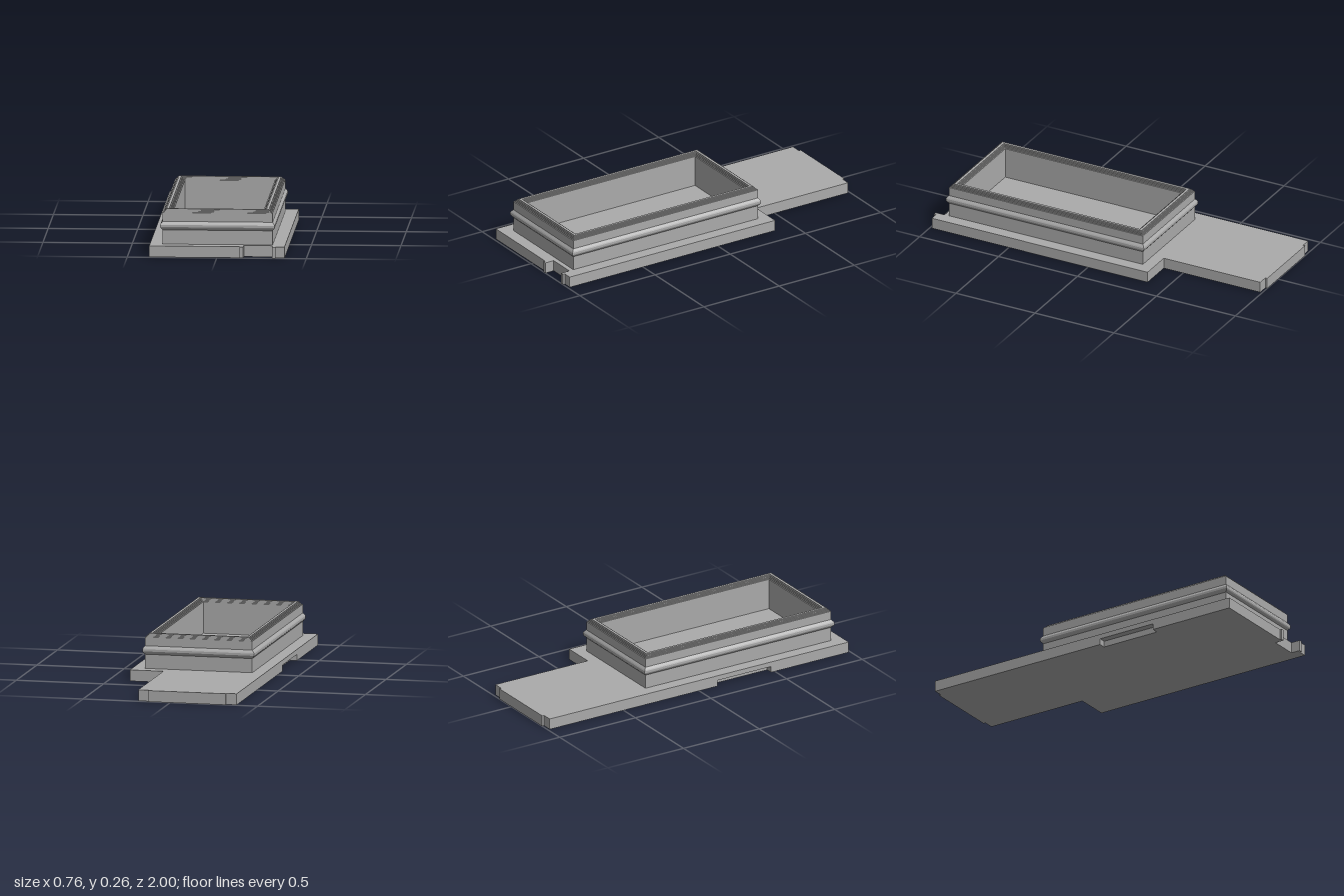
import * as THREE from 'three';

const PLATE_H = 0.063, UNDERCUT_H = 0.035;
const CENTER_Z = 0.304, INNER_X = 0.25, INNER_Z = 0.557, WALL = 0.057;

// Horizontal slab from an [x, z] outline
function slab(outline, y0, y1) {
  const shape = new THREE.Shape(outline.map(([x, z]) => new THREE.Vector2(x, -z)));
  const geo = new THREE.ExtrudeGeometry(shape, { depth: y1 - y0, bevelEnabled: false });
  return geo.rotateX(-Math.PI / 2).translate(0, y0, 0);
}

// Sweep a closed [offset, y] profile round a rectangle with mitred corners
function rectangularRing(profile, halfX, halfZ) {
  const signs = [[1, 1], [1, -1], [-1, -1], [-1, 1]];
  const point = (i, k) => {
    const [o, y] = profile[i % profile.length];
    const [sx, sz] = signs[k % 4];
    return [sx * (halfX + o), y, sz * (halfZ + o)];
  };
  const positions = [];
  for (let k = 0; k < 4; k++) {
    for (let i = 0; i < profile.length; i++) {
      const a = point(i, k), b = point(i, k + 1), c = point(i + 1, k + 1), d = point(i + 1, k);
      positions.push(...a, ...b, ...c, ...a, ...c, ...d);
    }
  }
  const geo = new THREE.BufferGeometry();
  geo.setAttribute('position', new THREE.Float32BufferAttribute(positions, 3));
  geo.computeVertexNormals();
  return geo;
}

export function createModel() {
  const model = new THREE.Group();
  model.name = 'coverPlate';
  const grey = new THREE.MeshStandardMaterial({ color: 0xaaaaaa });
  grey.name = 'grey';

  const add = (name, geo) => {
    const mesh = new THREE.Mesh(geo, grey);
    mesh.name = name;
    model.add(mesh);
    return mesh;
  };

  // Base plate outline, with front notch between two lips and a shallow rear step
  const front = 0.988, back = -0.988;
  const frontAndRight = [
    [-0.378, front], [0.128, front], [0.128, 1], [0.148, 1], [0.148, 0.945],
    [0.308, 0.945], [0.308, 1], [0.328, 1], [0.328, front], [0.378, front],
    [0.378, -0.378], [0.186, -0.378], [0.186, back],
    [0.126, back], [0.126, -1], [-0.318, -1], [-0.318, back], [-0.378, back],
  ];
  // Finger recess cut into the underside of the long edge
  const recess = [[-0.378, 0.12], [-0.338, 0.12], [-0.338, 0.475], [-0.378, 0.475]];
  add('plateLower', slab([...frontAndRight, ...recess], 0, UNDERCUT_H));
  add('plateUpper', slab(frontAndRight, UNDERCUT_H, PLATE_H));

  // Raised wall: snap ridge outside, stepped rounding on both top edges
  const outer = [
    [WALL, PLATE_H - 0.005], [WALL, 0.143],
    [WALL + 0.006, 0.15], [WALL + 0.01, 0.155], [WALL + 0.013, 0.161],
    [WALL + 0.013, 0.173], [WALL + 0.01, 0.179], [WALL + 0.006, 0.184], [WALL, 0.191],
  ];
  const steps = [[0, 0.241], [0.006, 0.246], [0.011, 0.251], [0.015, 0.256], [0.021, 0.26]];
  const outerSteps = [], innerSteps = [];
  steps.forEach(([inset, y], i) => {
    if (i > 0) {
      outerSteps.push([WALL - inset, steps[i - 1][1]]);
      innerSteps.unshift([inset, steps[i - 1][1]]);
    }
    outerSteps.push([WALL - inset, y]);
    innerSteps.unshift([inset, y]);
  });
  const profile = [...outer, ...outerSteps, ...innerSteps, [0, PLATE_H - 0.005]];
  add('raisedWall', rectangularRing(profile, INNER_X, INNER_Z)).position.z = CENTER_Z;

  return model;
}
